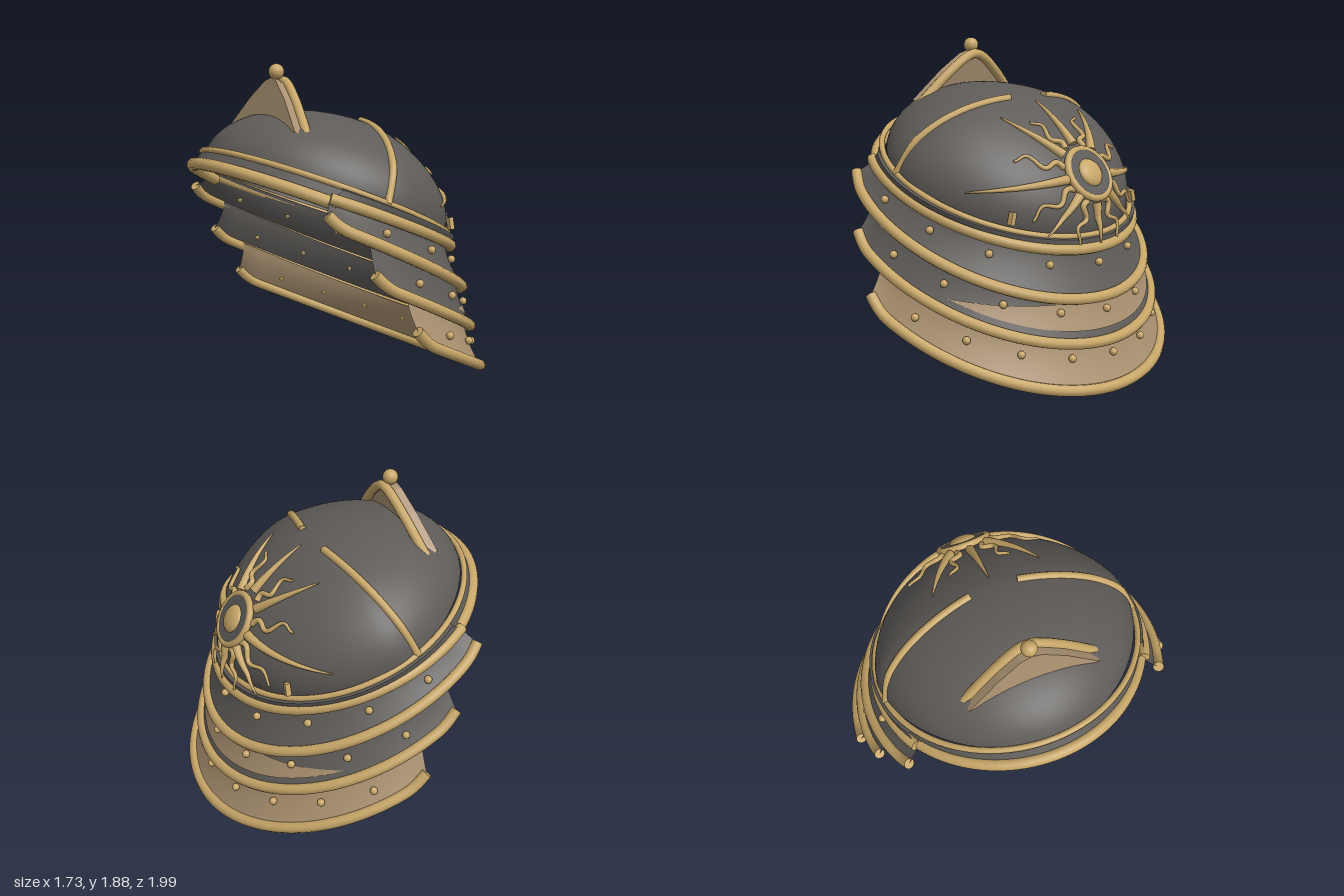
import * as THREE from 'three';
import { mergeVertices } from 'three/addons/utils/BufferGeometryUtils.js';

const V = (x, y, z) => new THREE.Vector3(x, y, z);
const rad = THREE.MathUtils.degToRad;
const TILT = rad(22.5), S = Math.sin(TILT), C = Math.cos(TILT);
// Dome: centre, half length, height, half width, and the power that tightens its length profile
const DOME = { x: -0.07, y: 1.12, a: 0.745, h: 0.47, w: 0.76, p: 1.65 };

// Sloping rings: centre x, radius, height at the back, slope, half sweep in degrees, upturn at the tips
const TIERS = [
  { c: -0.116, r: 0.771, y: 0.77, s: 0.385, end: 118, k: 0 },
  { c: -0.133, r: 0.853, y: 0.51, s: 0.462, end: 118.5, k: 0.04 },
  { c: -0.14, r: 0.91, y: 0.275, s: 0.459, end: 103, k: 0.045 },
  { c: -0.13, r: 0.965, y: 0.033, s: 0.458, end: 90, k: 0.05 },
];

export function createModel() {
  const model = new THREE.Group();
  const iron = new THREE.MeshStandardMaterial({ color: 0x5e5b58, side: THREE.DoubleSide });
  iron.name = 'dark iron';
  const brass = new THREE.MeshStandardMaterial({ color: 0xc7a668, side: THREE.DoubleSide });
  brass.name = 'brass trim';
  const bronze = new THREE.MeshStandardMaterial({ color: 0xa99070, side: THREE.DoubleSide });
  bronze.name = 'bronze plate';

  const add = (name, geo, mat, parent = model) => {
    const m = new THREE.Mesh(geo, mat);
    m.name = name;
    parent.add(m);
    return m;
  };

  // Round bar along points, tapering from r0 to r1, with flat ends
  function bar(name, pts, r0, r1 = r0, parent = model, closed = false, seg = 24) {
    const curve = new THREE.CatmullRomCurve3(pts, closed);
    const geo = new THREE.TubeGeometry(curve, seg, r0, 10, closed);
    const p = geo.attributes.position, v = V(0, 0, 0);
    for (let i = 0; i < p.count; i++) {
      const t = Math.floor(i / 11) / seg;
      const o = curve.getPointAt(t);
      v.fromBufferAttribute(p, i).sub(o).multiplyScalar(1 + (r1 / r0 - 1) * t).add(o);
      p.setXYZ(i, v.x, v.y, v.z);
    }
    add(name, geo, brass, parent);
    if (!closed) for (const [t, r, d] of [[0, r0, -1], [1, r1, 1]]) {
      const cap = add(name + 'End', new THREE.CircleGeometry(r, 10), brass, parent);
      const o = curve.getPointAt(t);
      cap.position.copy(o);
      cap.lookAt(o.clone().addScaledVector(curve.getTangentAt(t), d));
    }
  }

  // Surface from a rule f(u, v) with u, v in 0..1
  function sheet(name, f, mat, nu = 64, nv = 6) {
    const geo = new THREE.PlaneGeometry(1, 1, nu, nv);
    const p = geo.attributes.position;
    for (let i = 0; i < p.count; i++) {
      const q = f(p.getX(i) + 0.5, 0.5 - p.getY(i));
      p.setXYZ(i, q.x, q.y, q.z);
    }
    geo.computeVertexNormals();
    add(name, geo, mat);
  }

  const rim = (a, g = 0, drop = 0) =>
    V(-0.07 + (0.695 + g) * Math.cos(a), 1.125 - drop - 0.288 * Math.cos(a), (0.756 + g) * Math.sin(a));
  const ring = (t, a, inset = 0, up = 0) => {
    const cx = Math.cos(a), over = Math.max(0, (Math.abs(a) - rad(t.end - 8)) / rad(8));
    const lift = inset ? 0 : t.k * Math.min(1, over) ** 2;
    return V(t.c + (t.r - inset) * cx, t.y + t.s * t.r * (1 - cx) + lift + up, (t.r - inset) * Math.sin(a));
  };
  const sweep = (n, a0, a1, f) => Array.from({ length: n + 1 }, (_, i) => f(a0 + (a1 - a0) * i / n));

  // Dome and its thin rim
  let dome = new THREE.SphereGeometry(1, 72, 28, 0, Math.PI * 2, 0, Math.PI / 2);
  const dp = dome.attributes.position;
  for (let i = 0; i < dp.count; i++) {
    const x = dp.getX(i);
    dp.setXYZ(i, DOME.a * Math.sign(x) * Math.abs(x) ** (2 / DOME.p), DOME.h * dp.getY(i), DOME.w * dp.getZ(i));
  }
  dome.deleteAttribute('uv');
  dome.deleteAttribute('normal');
  dome = mergeVertices(dome, 1e-5);
  dome.computeVertexNormals();
  dome.rotateZ(-TILT);
  dome.translate(DOME.x, DOME.y, 0);
  add('dome', dome, iron);
  bar('domeRim', sweep(39, 0, Math.PI * 1.95, a => rim(a)), 0.017, 0.017, model, true, 96);

  // Front brim
  const brim = a => {
    const x = -0.05 + 0.78 * Math.cos(a);
    return V(x, 1.34 - 0.43 * (x + 0.83), 0.78 * Math.sin(a));
  };
  sheet('brimBand', (u, t) => {
    const a = rad(112 + 136 * u);
    return rim(a).lerp(brim(a), t);
  }, iron);
  bar('brimEdge', sweep(30, rad(120), rad(240), brim), 0.034, 0.034, model, false, 60);

  // Overlapping neck plates with edge bars
  const plate = (i, a, t) => {
    const T = TIERS[i];
    const top = i ? ring(TIERS[i - 1], a, 0.035, 0.02) : rim(a, 0.032, 0.012);
    const low = ring(T, a), f = t ** 1.5;
    return V(top.x + (low.x - top.x) * f, top.y + (low.y - top.y) * t, top.z + (low.z - top.z) * f);
  };
  TIERS.forEach((T, i) => {
    const e = rad(T.end);
    sheet('neckPlate' + (i + 1), (u, t) => plate(i, (u * 2 - 1) * e, t), i === 3 ? bronze : iron);
    bar('neckPlateEdge' + (i + 1), sweep(60, -e, e, a => ring(T, a)), 0.031, 0.031, model, false, 90);
  });
  // Lip closing the first plate against the dome
  sheet('neckPlateLip', (u, t) => {
    const a = rad(118) * (u * 2 - 1);
    return rim(a, -0.005, 0.005).lerp(plate(0, a, 0), t);
  }, iron, 64, 1);

  // Bronze crescent lying on the third plate
  sheet('crescent', (u, t) => {
    const a = rad(62) * (u * 2 - 1);
    const p = plate(2, a, 0.76 - 0.62 * Math.cos((u - 0.5) * Math.PI) * (1 - t));
    return p.add(V(0.007 * Math.cos(a), 0.002, 0.007 * Math.sin(a)));
  }, bronze);

  // Rivets, sitting lower towards the sides
  const rivet = new THREE.SphereGeometry(0.022, 14, 10);
  [[1, 24], [2, 21], [3, 18]].forEach(([i, step]) => {
    for (let k = -4; k <= 4; k++) {
      const a = rad(k * step);
      add('rivet', rivet, brass).position.copy(plate(i, a, 0.37 + 0.2 * (k / 4) ** 2))
        .add(V(0.018 * Math.cos(a), 0, 0.018 * Math.sin(a)));
    }
  });

  // Curved ribs over the dome
  for (const side of [-1, 1]) {
    const pts = sweep(10, 0.135, 0.75, z => {
      const u = -0.14 * z;
      const v = DOME.h * Math.sqrt(Math.max(0, 1 - (-u / DOME.a) ** DOME.p - (z / DOME.w) ** 2));
      return V(DOME.x + C * u + S * v, DOME.y - S * u + C * v, side * z);
    });
    bar('domeRib', pts, 0.022);
  }

  // Pointed crest with ball
  const crest = new THREE.Group();
  crest.name = 'crest';
  crest.position.set(-0.43, 1.53, 0);
  crest.rotation.z = -0.24;
  model.add(crest);
  const edge = [[-0.37, -0.025], [-0.19, 0.15], [-0.06, 0.248], [0, 0.266], [0.06, 0.248], [0.19, 0.15], [0.37, -0.025]];
  const shape = new THREE.Shape(edge.map(p => new THREE.Vector2(...p)));
  shape.quadraticCurveTo(0, 0.06, -0.37, -0.025);
  const fin = new THREE.ExtrudeGeometry(shape, { depth: 0.06, bevelEnabled: false });
  fin.rotateY(Math.PI / 2);
  fin.translate(-0.06, 0, 0);
  add('crestPlate', fin, bronze, crest);
  bar('crestEdge', edge.map(([z, y]) => V(0.015, y, z)), 0.028, 0.028, crest, false, 40);
  add('crestBall', new THREE.SphereGeometry(0.044, 20, 14), brass).position.set(-0.39, 1.835, 0);

  // Point on the back of the dome at a given height and side offset, raised by g;
  // below the dome it rises further to clear the rim
  const onBack = (y, z, g = 0) => {
    const Y = y - DOME.y;
    let lo = Y * S / C, hi = 1, u, v;
    for (let i = 0; i < 40; i++) {
      const X = (lo + hi) / 2;
      u = C * X - S * Y;
      v = S * X + C * Y;
      const f = (u / DOME.a) ** DOME.p + (v / DOME.h) ** 2 + (z / DOME.w) ** 2;
      if (f < 1) lo = X; else hi = X;
    }
    const nu = DOME.p * (u / DOME.a) ** (DOME.p - 1) / DOME.a, nv = 2 * v / DOME.h ** 2;
    const n = V(C * nu + S * nv, -S * nu + C * nv, 2 * z / DOME.w ** 2).normalize();
    return V(DOME.x + lo, y, z).addScaledVector(n, g + 0.5 * Math.max(0, 0.1 - v));
  };

  // Sun emblem: disc, ring and boss
  const sun = new THREE.Group();
  sun.name = 'sun';
  model.add(sun);
  const SY = 1.16, hub = new THREE.Group();
  hub.name = 'sunHub';
  hub.position.copy(onBack(SY, 0, 0.012));
  hub.lookAt(onBack(SY, 0, 1));
  sun.add(hub);
  add('sunDisc', new THREE.CylinderGeometry(0.145, 0.145, 0.03, 40).rotateX(Math.PI / 2), iron, hub);
  add('sunRing', new THREE.TorusGeometry(0.146, 0.02, 10, 48), brass, hub);
  add('sunBoss', new THREE.SphereGeometry(0.082, 24, 16).scale(1, 1, 0.45), brass, hub).position.z = 0.01;

  // Rays, given by their tips as (z, y); the last number is the wave size
  const rays = [[0, 1.53, 0], [0.31, 1.46, 0], [0.63, 1.1, 0], [0.31, 0.88, 0], [0, 0.82, 0],
    [0.16, 1.44, 0.022], [0.39, 1.27, 0.022], [0.39, 0.97, 0.022], [0.155, 0.84, 0.022]];
  for (const [tz, ty, wave] of rays) for (const side of tz ? [-1, 1] : [1]) {
    const dz = tz * side, dy = ty - SY, len = Math.hypot(dz, dy), start = 0.15 / len;
    const pts = sweep(14, 0, 1, t => {
      const f = start + (1 - start) * t, w = wave * Math.sin(t * Math.PI * 3.4) * side;
      return onBack(SY + dy * f + w * dz / len, dz * f - w * dy / len, 0.008);
    });
    bar(wave ? 'wavyRay' : 'straightRay', pts, wave ? 0.018 : 0.028, wave ? 0.007 : 0.004, sun, false, 36);
  }

  // Small upright tabs on the back of the rim
  for (const side of [-1, 1]) {
    const tab = add('rimTab', new THREE.BoxGeometry(0.03, 0.07, 0.03), brass);
    tab.position.copy(onBack(0.97, 0.47 * side, 0.005));
    tab.rotation.x = -0.25 * side;
  }
  return model;
}
